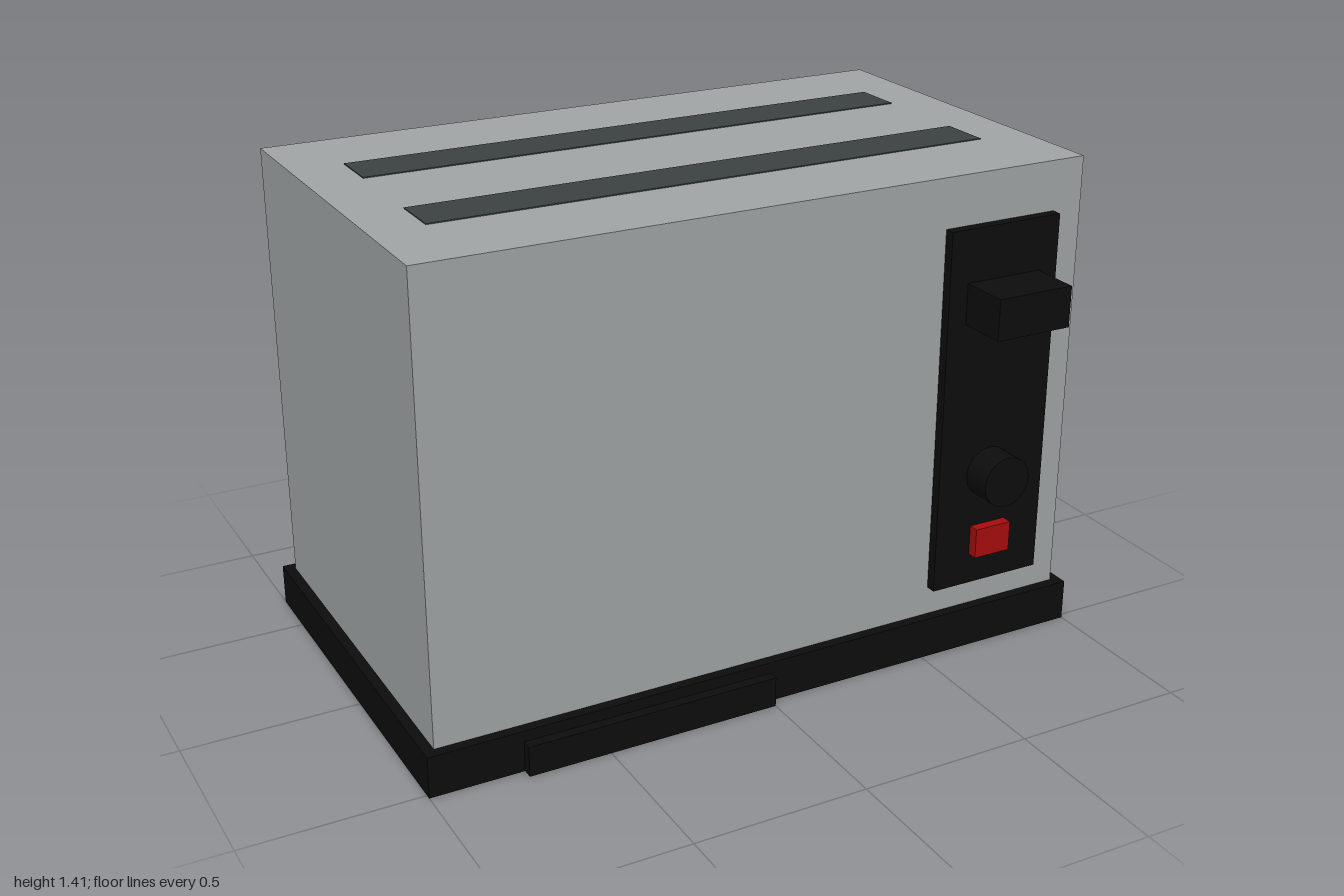
import * as THREE from 'three';

export function createModel() {
  const group = new THREE.Group();
  const mat = (name, color) => {
    const m = new THREE.MeshStandardMaterial({ color });
    m.name = name;
    return m;
  };
  const steel = mat('steel grey', 0xa2a6a6);
  const black = mat('black plastic', 0x0d0d0d);
  const slotGrey = mat('slot dark grey', 0x3d4343);
  const red = mat('red button', 0xa80d0d);

  // Box given by its extents along x, y and z
  const box = (name, material, [x0, x1], [y0, y1], [z0, z1]) => {
    const mesh = new THREE.Mesh(new THREE.BoxGeometry(x1 - x0, y1 - y0, z1 - z0), material);
    mesh.position.set((x0 + x1) / 2, (y0 + y1) / 2, (z0 + z1) / 2);
    mesh.name = name;
    group.add(mesh);
    return mesh;
  };

  // Base and housing
  box('base', black, [-1, 1], [0, 0.12], [-0.66, 0.515]);
  box('housing', steel, [-0.97, 0.97], [0.12, 1.41], [-0.63, 0.485]);

  // Bread slots on the top
  for (const [name, z] of [['backSlot', -0.298], ['frontSlot', 0.146]]) {
    box(name, slotGrey, [-0.82, 0.82], [1.408, 1.413], [z - 0.074, z + 0.074]);
  }

  // Control panel with lever, dial and button
  box('controlPanel', black, [0.53, 0.88], [0.205, 1.268], [0.48, 0.515]);
  box('lever', black, [0.588, 0.82], [1.0, 1.117], [0.51, 0.66]);
  box('button', red, [0.645, 0.76], [0.297, 0.385], [0.51, 0.545]);

  const dial = new THREE.Mesh(new THREE.CylinderGeometry(0.074, 0.074, 0.09, 16), black);
  dial.rotation.x = Math.PI / 2;
  dial.position.set(0.695, 0.545, 0.557);
  dial.name = 'dial';
  group.add(dial);

  // Crumb tray front
  box('crumbTray', black, [-0.735, 0], [0, 0.088], [0.51, 0.545]);

  return group;
}
